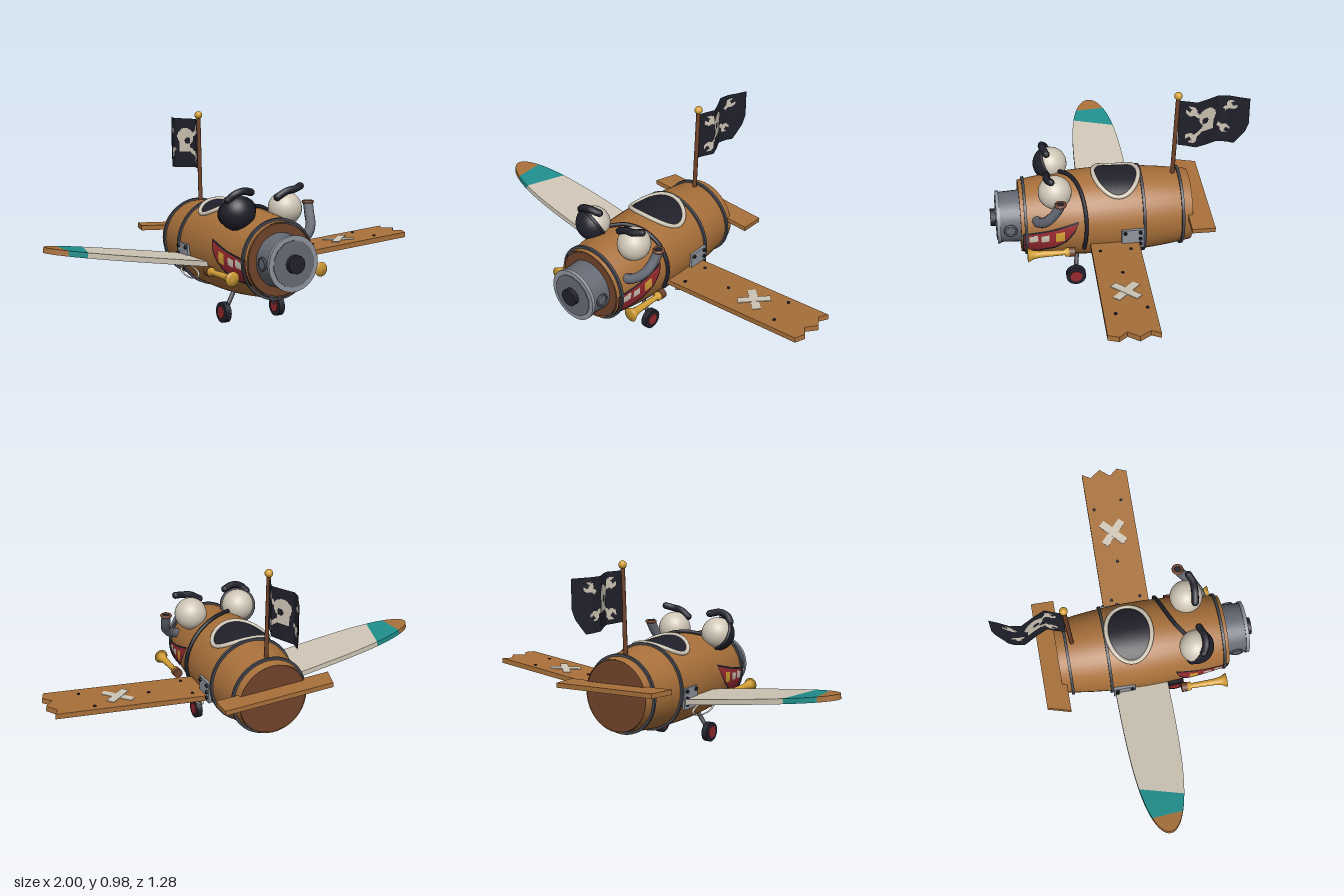
import * as THREE from 'three';

const mat = (name, hex) => {
  const m = new THREE.MeshStandardMaterial({ color: hex, side: THREE.DoubleSide });
  m.name = name;
  return m;
};
const V = (x, y, z) => new THREE.Vector3(x, y, z);

export function createModel() {
  const wood = mat('wood', 0xa8703a), darkWood = mat('darkWood', 0x70432a);
  const iron = mat('iron', 0x44474f), engineGrey = mat('engineGrey', 0x666a74), steel = mat('steel', 0x8f959e);
  const black = mat('black', 0x20202b), cream = mat('cream', 0xcfc6b6);
  const gold = mat('gold', 0xd4a035), red = mat('red', 0x982a2f), teal = mat('teal', 0x1f8f8c);

  const model = new THREE.Group();
  model.name = 'barrelPlane';
  const body = new THREE.Group();
  body.name = 'body';
  body.position.x = -0.013;
  model.add(body);

  const add = (name, geo, m, pos = [0, 0, 0], parent = body) => {
    const mesh = new THREE.Mesh(geo, m);
    mesh.name = name;
    mesh.position.set(...pos);
    parent.add(mesh);
    return mesh;
  };
  // Cylinder lying along z from z0 (radius r0) to z1 (radius r1)
  const zCyl = (r0, r1, z0, z1, n = 32) =>
    new THREE.CylinderGeometry(r1, r0, z1 - z0, n).rotateX(Math.PI / 2).translate(0, 0, (z0 + z1) / 2);
  const xCyl = (r, w, n = 20) => new THREE.CylinderGeometry(r, r, w, n).rotateZ(Math.PI / 2);
  const tube = (pts, r, closed = false, n = 48) =>
    new THREE.TubeGeometry(new THREE.CatmullRomCurve3(pts, closed), n, r, 8, closed);
  // Thin sheet of cells; pick() returns the material index of each cell, or -1 to leave it out
  const sheet = (nu, nv, map, pick, smooth = true) => {
    const pos = [], idx = [], runs = [[], [], [], []];
    for (let i = 0; i <= nu; i++) for (let j = 0; j <= nv; j++) pos.push(...map(i / nu, j / nv).toArray());
    for (let i = 0; i < nu; i++) for (let j = 0; j < nv; j++) {
      const k = pick((i + 0.5) / nu, (j + 0.5) / nv), a = i * (nv + 1) + j, b = a + nv + 1;
      if (k >= 0) runs[k].push(a, b, a + 1, b, b + 1, a + 1);
    }
    const g = new THREE.BufferGeometry();
    g.setAttribute('position', new THREE.Float32BufferAttribute(pos, 3));
    runs.forEach((r, k) => { if (r.length) g.addGroup(idx.length, r.length, k); idx.push(...r); });
    g.setIndex(idx);
    if (smooth) g.computeVertexNormals();
    return g;
  };
  const lerpPts = (pts, z) => {
    for (let i = 1; i < pts.length; i++) {
      const [a, p] = pts[i - 1], [b, q] = pts[i];
      if (z >= Math.min(a, b) - 1e-6 && z <= Math.max(a, b) + 1e-6) return p + (q - p) * (z - a) / (b - a);
    }
    return pts[pts.length - 1][1];
  };

  // Barrel hull
  const CY = 0.338;
  const radius = z => 0.217 - 0.038 * ((z - 0.075) / 0.425) ** 2;
  const onBarrel = (deg, z, lift = 0) => {
    const a = deg * Math.PI / 180, r = radius(z) + lift;
    return V(Math.sin(a) * r, CY + Math.cos(a) * r, z);
  };
  const profile = [];
  for (let i = 0; i <= 16; i++) { const z = -0.35 + 0.85 * i / 16; profile.push(new THREE.Vector2(radius(z), z)); }
  add('barrel', new THREE.LatheGeometry(profile, 40).rotateX(Math.PI / 2), wood, [0, CY, 0]);
  add('barrelFrontEnd', zCyl(0.172, 0.172, 0.48, 0.499, 40), darkWood, [0, CY, 0]);
  add('barrelRearEnd', zCyl(0.176, 0.176, -0.347, -0.33, 40), darkWood, [0, CY, 0]);
  for (const z of [0.475, -0.105, -0.3])
    add('hoop', zCyl(radius(z) + 0.011, radius(z) + 0.011, z - 0.007, z + 0.007, 40), iron, [0, CY, 0]);

  // Engine nose
  add('engine', zCyl(0.13, 0.125, 0.49, 0.6), engineGrey, [0, CY, 0]);
  add('engineRim', zCyl(0.132, 0.132, 0.598, 0.615), steel, [0, CY, 0]);
  add('engineFace', zCyl(0.11, 0.11, 0.61, 0.619, 14), engineGrey, [0, CY, 0]);
  add('engineHub', zCyl(0.044, 0.044, 0.615, 0.645, 12), black, [0, CY, 0]);
  for (const s of [-1, 1]) {
    add('enginePort', new THREE.TorusGeometry(0.028, 0.006, 8, 20).rotateY(Math.PI / 2), iron, [s * 0.129, CY, 0.55]);
    add('enginePortCap', xCyl(0.024, 0.02), engineGrey, [s * 0.122, CY, 0.55]);
  }

  // Cockpit opening draped over the hull
  const rim = (a, k, lift) => {
    const x = 0.146 * k * Math.cos(a), z = 0.016 + 0.112 * k * Math.sin(a);
    return V(x, CY + Math.sqrt(radius(z) ** 2 - x * x) + lift, z);
  };
  add('cockpitOpening', sheet(40, 8, (u, v) => rim(u * Math.PI * 2, v, 0.005), () => 0), [black]);
  add('cockpitRim', tube([...Array(24)].map((_, i) => rim(i / 24 * Math.PI * 2, 1, 0.006)), 0.011, true, 64), cream);

  // Grins with red inside, dark outline and three teeth
  const top = [[0.22, 0.416], [0.36, 0.375], [0.495, 0.352]];
  const bottom = [[0.22, 0.41], [0.24, 0.36], [0.28, 0.308], [0.34, 0.262], [0.42, 0.236], [0.495, 0.226]];
  const teeth = [[0.443, 0.322, 0.021, 0.018, 2], [0.385, 0.325, 0.02, 0.018, 2], [0.312, 0.335, 0.02, 0.026, 3]];
  const mouthZY = (u, v) => {
    const z = 0.22 + 0.275 * u, t = lerpPts(top, z), b = lerpPts(bottom, z);
    return [z, b + (t - b) * v, t, b];
  };
  const mouthPick = (u, v) => {
    const [z, y, t, b] = mouthZY(u, v);
    for (const [tz, ty, w, h, k] of teeth)
      if (Math.abs(z - tz) < w && Math.abs(y - ty - (tz - z) * 0.2) < h) return k;
    return t - y < 0.01 || y - b < 0.011 || z > 0.486 ? 0 : 1;
  };
  for (const s of [-1, 1]) {
    add('mouth', sheet(70, 40, (u, v) => {
      const [z, y] = mouthZY(u, v);
      return V(s * (Math.sqrt(radius(z) ** 2 - (y - CY) ** 2) + 0.005), y, z);
    }, mouthPick), [black, red, cream, gold]);

    // Horns
    const horn = [[0.0, 0.24], [0.022, 0.24], [0.022, 0.272], [0.013, 0.278], [0.017, 0.4], [0.022, 0.43], [0.036, 0.458], [0.0, 0.45]];
    add('horn', new THREE.LatheGeometry(horn.map(p => new THREE.Vector2(...p)), 20).rotateX(Math.PI / 2), gold, [s * 0.243, 0.267, 0.02]);
    add('hornCollar', zCyl(0.024, 0.024, 0.245, 0.275, 16), darkWood, [s * 0.243, 0.267, 0]);

    // Wing brackets, bolts and rope loops
    add('bracket', new THREE.BoxGeometry(0.014, 0.105, 0.11), steel, [s * 0.219, 0.302, -0.043]);
    for (const [y, z] of [[0.34, -0.08], [0.275, -0.08], [0.34, -0.005], [0.305, -0.08]])
      add('bolt', xCyl(0.009, 0.012, 10), black, [s * 0.229, y, z]);
    add('ropeLoop', new THREE.TorusGeometry(0.09, 0.006, 8, 32).scale(1, 0.33, 1).rotateY(Math.PI / 2), cream, [s * 0.235, 0.23, 0.05]);

    // Wheels
    add('tire', xCyl(0.05, 0.03, 24), black, [s * 0.15, 0.055, 0.235]);
    add('wheelHub', xCyl(0.03, 0.038, 20), red, [s * 0.15, 0.055, 0.235]);
    add('wheelStrut', tube([V(s * 0.142, 0.06, 0.235), V(s * 0.125, 0.09, 0.232), V(s * 0.085, 0.155, 0.222)], 0.011, false, 12), iron);

    // Eyes
    add('eye', new THREE.SphereGeometry(0.082, 32, 20), cream, [s * 0.133, 0.55, 0.328]);
  }

  // Brows
  const brow = (name, pts) => {
    const g = tube(pts, 0.018, false, 20);
    add(name, g, black);
    for (const p of [pts[0], pts[pts.length - 1]]) add(name + 'End', new THREE.SphereGeometry(0.018, 10, 8), black, p.toArray());
  };
  brow('rightBrow', [V(-0.195, 0.612, 0.35), V(-0.165, 0.64, 0.366), V(-0.12, 0.652, 0.366), V(-0.07, 0.642, 0.35)]);
  brow('leftBrow', [V(0.07, 0.61, 0.36), V(0.12, 0.638, 0.366), V(0.165, 0.645, 0.366), V(0.205, 0.655, 0.35)]);

  // Eye patch and its strap
  const patch = new THREE.SphereGeometry(0.088, 32, 12, 0, Math.PI * 2, 0, Math.PI * 0.5);
  const patchMesh = add('eyePatch', patch, black, [-0.133, 0.55, 0.328]);
  patchMesh.quaternion.setFromUnitVectors(V(0, 1, 0), V(-0.25, -0.45, 0.8).normalize());
  const edge = add('eyePatchEdge', new THREE.TorusGeometry(0.085, 0.008, 8, 32).rotateX(Math.PI / 2), black, [-0.133, 0.55, 0.328]);
  edge.quaternion.copy(patchMesh.quaternion);
  const strap = [[-17, 0.29], [0, 0.245], [22, 0.21], [45, 0.19], [70, 0.183], [90, 0.187], [112, 0.197]];
  add('strap', tube(strap.map(([a, z]) => onBarrel(a, z, 0.008)), 0.01), black);

  // Bent exhaust pipe
  add('exhaustPipe', tube([V(0.15, 0.41, 0.425), V(0.205, 0.425, 0.41), V(0.25, 0.465, 0.375), V(0.268, 0.52, 0.335), V(0.275, 0.57, 0.312)], 0.025, false, 24), engineGrey);
  add('exhaustLip', new THREE.TorusGeometry(0.022, 0.008, 8, 20).rotateX(Math.PI / 2), darkWood, [0.275, 0.57, 0.312]);
  add('exhaustHole', new THREE.CylinderGeometry(0.022, 0.022, 0.008, 16), black, [0.275, 0.57, 0.312]);

  // Flat boards: outline in x and z, thickness along y
  const board = (pts, t) => new THREE.ExtrudeGeometry(new THREE.Shape(pts.map(p => new THREE.Vector2(...p))),
    { depth: t, bevelEnabled: false }).rotateX(Math.PI / 2).translate(0, t / 2, 0);

  // Plank wing with a broken end, nails and a crossed patch
  const plank = new THREE.Group();
  plank.name = 'plankWing';
  plank.position.y = 0.25;
  plank.rotation.z = 0.083;
  model.add(plank);
  add('plank', board([[0.17, -0.075], [0.985, -0.063], [0.96, -0.02], [0.998, 0.035], [0.955, 0.085], [0.99, 0.125], [0.97, 0.176], [0.17, 0.165]], 0.026), wood, [0, 0, 0], plank);
  for (const [x, z] of [[0.27, -0.025], [0.27, 0.125], [0.475, 0.042], [0.78, -0.03], [0.81, 0.12]])
    add('nail', new THREE.CylinderGeometry(0.008, 0.008, 0.034, 10), black, [x, 0, z], plank);
  for (const a of [0.75, -0.75])
    add('crossPatch', new THREE.BoxGeometry(0.16, 0.004, 0.04), cream, [0.635, 0.0145 + a * 0.001, 0.047], plank).rotation.y = a;

  // Surfboard wing: plain root, coloured band and tip
  const surf = new THREE.Group();
  surf.name = 'surfboardWing';
  surf.position.y = 0.253;
  surf.rotation.z = -0.148;
  model.add(surf);
  const half = s => 0.135 * Math.sqrt(Math.max(0, 1 - s ** 4.2));
  const section = (back, front) => {
    const pts = [], n = 14, at = ([a, b], k) => a + (b - a) * (1 - (1 - k) ** 2);
    for (let i = 0; i <= n; i++) { const s = at(back, i / n); pts.push([-s * 1.01, 0.045 - half(s)]); }
    for (let i = n; i >= 0; i--) { const s = at(front, i / n); if (s < 1) pts.push([-s * 1.01, 0.045 + half(s)]); }
    return board(pts, 0.026);
  };
  add('surfboardRoot', section([0.17, 0.765], [0.17, 0.825]), cream, [0, 0, 0], surf);
  add('surfboardBand', section([0.765, 0.92], [0.825, 0.91]), teal, [0, 0, 0], surf);
  add('surfboardTip', section([0.92, 1], [0.91, 1]), wood, [0, 0, 0], surf);

  // Tailplane
  add('tailplane', board([[-0.292, -0.44], [0.308, -0.44], [0.288, -0.325], [-0.308, -0.325]].map(([x, z]) => [z < -0.4 ? x * 0.95 : x * 1.01, z]), 0.024), wood, [0, 0.383, 0]).rotation.z = -0.05;

  // Flagpole
  add('flagpole', tube([V(0, 0.53, -0.27), V(0, 0.745, -0.28), V(0, 0.96, -0.29)], 0.011, false, 4), darkWood);
  add('flagpoleBall', new THREE.SphereGeometry(0.02, 16, 12), gold, [0, 0.963, -0.29]);

  // Waving flag with a skull and crossed wrenches
  const wave = [[0, 0], [0.04, 0.012], [0.085, 0.03], [0.14, 0.005], [0.2, -0.028], [0.25, -0.02], [0.3, 0.005], [0.345, 0.025]];
  const low = [[0, 0.69], [0.28, 0.675], [0.33, 0.75], [0.345, 0.8]];
  const flagDY = (u, v) => { const d = 0.345 * u, b = lerpPts(low, d); return [d, b + (0.937 - b) * v]; };
  const wrenches = [[0.06, 0.885, 0.235, 0.755], [0.06, 0.735, 0.265, 0.89]];
  const near = (d, y, a, b, r) => Math.hypot(d - a, y - b) < r;
  const emblem = (u, v) => {
    const [d, y] = flagDY(u, v);
    if (near(d, y, 0.132, 0.822, 0.017)) return 0;
    if (near(d, y, 0.143, 0.842, 0.045) || (Math.abs(d - 0.148) < 0.03 && y > 0.765 && y < 0.82)) return 1;
    for (const [a, b, c, e] of wrenches) {
      const L = Math.hypot(c - a, e - b), p = ((d - a) * (c - a) + (y - b) * (e - b)) / L, q = ((y - b) * (c - a) - (d - a) * (e - b)) / L;
      if ((p < -0.002 || p > L + 0.002) && Math.abs(q) < 0.01) continue;
      if (near(d, y, a, b, 0.027) || near(d, y, c, e, 0.024)) return 1;
      if (p > 0 && p < L && Math.abs(q) < 0.01 && (p < 0.1 || p > L - 0.045)) return 1;
    }
    return 0;
  };
  add('flag', sheet(80, 56, (u, v) => {
    const [d, y] = flagDY(u, v);
    return V(lerpPts(wave, d), y, -0.293 - d);
  }, emblem), [black, cream]);

  return model;
}
